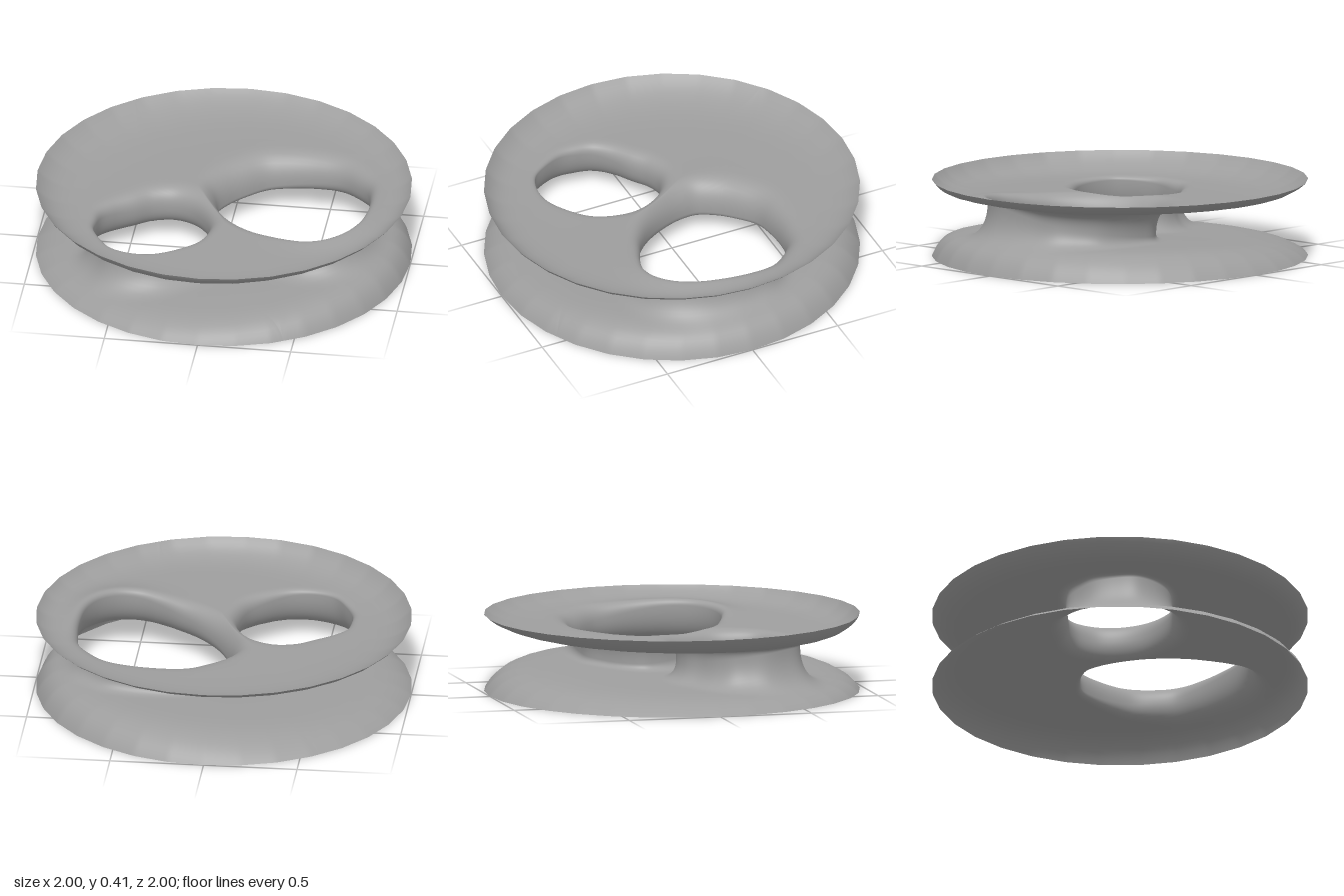
import * as THREE from 'three';
import { mergeVertices } from 'three/addons/utils/BufferGeometryUtils.js';

// Narrowest outline of each through-opening, as x,z pairs, with a centre to fan out from.
// The neck sits above (+) or below (-) the middle by lift + lean along the lean direction;
// crest raises the upper lip on the +x +z side.
const openings = [
  { centre: [-0.35, 0.27], lift: 0.38, lean: [-0.23, 0.36], crest: 0,
    pts: [-0.28, -0.05, -0.18, -0.01, -0.1, 0.08, -0.05, 0.2, -0.05, 0.3, -0.09, 0.42,
      -0.18, 0.51, -0.3, 0.58, -0.42, 0.59, -0.53, 0.55, -0.6, 0.46, -0.65, 0.35, -0.65, 0.26, -0.63, 0.17,
      -0.57, 0.1, -0.47, 0.03, -0.38, -0.03] },
  { centre: [0.38, 0], lift: 0, lean: [0.49, 0.49], crest: 0.03,
    pts: [0.28, -0.43, 0.44, -0.43, 0.57, -0.4, 0.66, -0.33, 0.74, -0.23, 0.77, -0.1,
      0.775, 0.05, 0.75, 0.2, 0.69, 0.31, 0.6, 0.38, 0.5, 0.4, 0.4, 0.375, 0.3, 0.33, 0.2, 0.275, 0.1, 0.19,
      0.03, 0.1, -0.03, -0.02, -0.05, -0.1, -0.05, -0.17, 0, -0.26, 0.08, -0.34, 0.18, -0.41] },
];
for (const o of openings) {
  const v = [];
  for (let i = 0; i < o.pts.length; i += 2) v.push(new THREE.Vector3(o.pts[i], 0, o.pts[i + 1]));
  o.outline = new THREE.CatmullRomCurve3(v, true).getPoints(160).map((p) => [p.x, p.z]);
}

// Distance from a point to the outline of an opening
function distance({ outline }, x, z) {
  let best = Infinity;
  for (let i = 0; i + 1 < outline.length; i++) {
    const [ax, az] = outline[i], ex = outline[i + 1][0] - ax, ez = outline[i + 1][1] - az;
    const t = THREE.MathUtils.clamp(((x - ax) * ex + (z - az) * ez) / (ex * ex + ez * ez), 0, 1);
    best = Math.min(best, Math.hypot(x - ax - t * ex, z - az - t * ez));
  }
  return best;
}

// Fraction along centre -> target at which the outline is crossed
function crossing({ centre: [cx, cz], outline }, [bx, bz]) {
  const dx = bx - cx, dz = bz - cz;
  let best = 0;
  for (let i = 0; i + 1 < outline.length; i++) {
    const [ax, az] = outline[i], ex = outline[i + 1][0] - ax, ez = outline[i + 1][1] - az;
    const det = dx * ez - dz * ex;
    if (Math.abs(det) < 1e-12) continue;
    const s = ((ax - cx) * ez - (az - cz) * ex) / det;
    const t = ((ax - cx) * dz - (az - cz) * dx) / det;
    if (t >= -1e-6 && t <= 1 + 1e-6 && s > best) best = s;
  }
  return best;
}

// The rim is a 32-sided polygon
const SECTOR = Math.PI / 16;
function rimRadius(angle) {
  const a = THREE.MathUtils.euclideanModulo(angle, SECTOR) - SECTOR / 2;
  return Math.cos(SECTOR / 2) / Math.cos(a);
}

// Neck position between the dishes, blended between the two openings
function neckBias(x, z, distances) {
  let sum = 0, total = 0;
  openings.forEach(({ centre, lift, lean }, i) => {
    const dx = x - centre[0], dz = z - centre[1];
    const weight = 1 / (distances[i] ** 2 + 1e-9);
    sum += weight * (lift + (dx * lean[0] + dz * lean[1]) / Math.hypot(dx, dz));
    total += weight;
  });
  return sum / total;
}

// Raised lip that fades away from the opening
function lip(x, z, distances) {
  return openings.reduce((sum, { centre, crest }, i) => {
    const facing = Math.cos(Math.atan2(z - centre[1], x - centre[0]) - 0.6);
    return sum + crest * Math.max(0, facing) ** 2 * Math.exp(-((distances[i] / 0.1) ** 2));
  }, 0);
}

// Height of the upper (side 1) or lower (side -1) dish, rounded into the tube walls
function height(x, z, side) {
  const distances = openings.map((o) => distance(o, x, z));
  const tilt = Math.tanh(1.2 * x - 0.45 * z);
  const angle = Math.atan2(z, x);
  const sharpness = 13.5 + 4 * Math.cos(angle - Math.PI / 4);
  const rim = Math.min(1, Math.hypot(x, z) / rimRadius(angle)) ** sharpness;
  const upper = THREE.MathUtils.lerp(0.32 + 0.025 * tilt + lip(x, z, distances), 0.41, rim);
  const lower = THREE.MathUtils.lerp(0.112 + 0.045 * tilt, 0, rim);
  const bias = neckBias(x, z, distances);
  const neck = (upper + lower) / 2 + bias * (upper - lower) / 2;
  const width = 0.095 * (1 - 0.8 * side * bias);
  const d = side === 0 ? 0 : Math.min(1, Math.min(...distances) / width);
  const flare = (1 - (1 - d) ** 2.5) ** 0.45;
  return THREE.MathUtils.lerp(neck, side < 0 ? lower : upper, flare);
}

// Boundary of one part of the disc: a rim arc, closed by the straight cut between the openings
const cutAngle = Math.atan2(-0.524, 0.852), cutHalf = Math.acos(-0.0878);
function boundary(from, to) {
  const at = (a) => [rimRadius(a) * Math.cos(a), rimRadius(a) * Math.sin(a)];
  const [ax, az] = at(from), [bx, bz] = at(to), loop = [];
  for (let i = 0; i < 160; i++) loop.push(at(from + (to - from) * i / 160));
  for (let i = 0; i < 100; i++) loop.push([bx + (ax - bx) * i / 100, bz + (az - bz) * i / 100]);
  return loop;
}

// Rows run from the lower dish, through the tube neck, out over the upper dish
const STEPS = 26;
function addPart(opening, loop, positions, index) {
  const start = positions.length / 3, rows = 2 * STEPS + 1;
  const [cx, cz] = opening.centre;
  for (const b of loop) {
    const inner = crossing(opening, b);
    for (let j = -STEPS; j <= STEPS; j++) {
      const u = Math.abs(j) / STEPS;
      const k = inner + (1 - inner) * u ** 3 / (u ** 3 + (1 - u) ** 2);
      const x = cx + (b[0] - cx) * k, z = cz + (b[1] - cz) * k;
      positions.push(x, height(x, z, Math.sign(j)), z);
    }
  }
  for (let i = 0; i < loop.length; i++) {
    const p = start + i * rows, q = start + ((i + 1) % loop.length) * rows;
    for (let j = 0; j < rows - 1; j++) {
      index.push(p + j, q + j, p + j + 1, q + j, q + j + 1, p + j + 1);
    }
  }
}

export function createModel() {
  const group = new THREE.Group();
  group.name = 'pairedDishes';
  const positions = [], index = [];
  addPart(openings[1], boundary(cutAngle - cutHalf, cutAngle + cutHalf), positions, index);
  addPart(openings[0], boundary(cutAngle + cutHalf, cutAngle + 2 * Math.PI - cutHalf), positions, index);

  let geometry = new THREE.BufferGeometry();
  geometry.setAttribute('position', new THREE.Float32BufferAttribute(positions, 3));
  geometry.setIndex(index);
  geometry = mergeVertices(geometry, 1e-5);
  geometry.computeVertexNormals();

  // One continuous thin sheet: two dishes joined by two tubes
  const sheet = new THREE.Mesh(geometry, new THREE.MeshStandardMaterial({ color: 0x9e9e9e, side: THREE.DoubleSide }));
  sheet.name = 'dishesAndTubes';
  group.add(sheet);
  return group;
}
